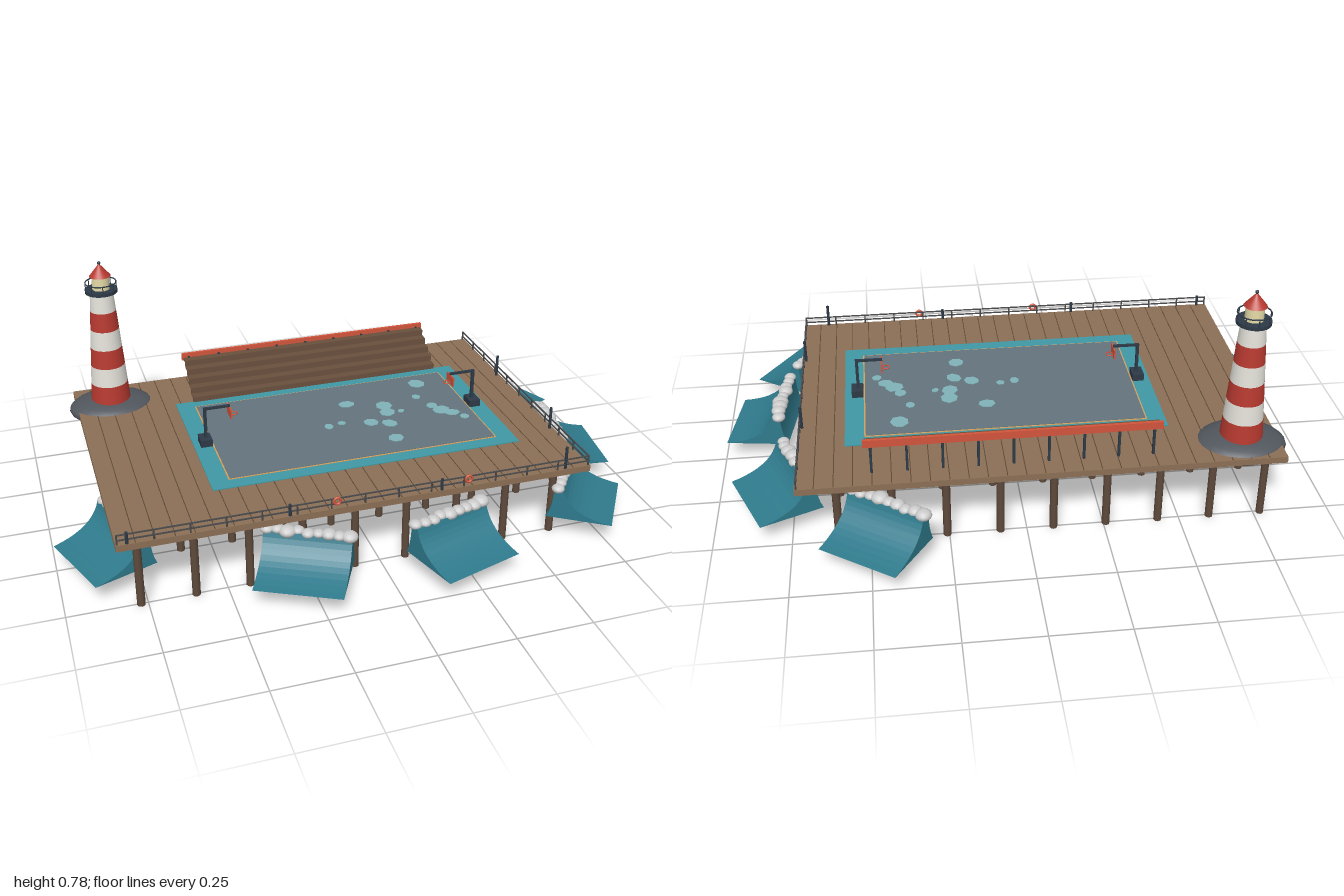
import * as THREE from 'three';

const mat = (color, extra = {}) => new THREE.MeshStandardMaterial({ color, ...extra });
const M = {
  deck: mat(0x8b6f55), seam: mat(0x5c4735), pile: mat(0x5f4a3c), bench: mat(0x6a503e),
  teal: mat(0x3f98a5), pool: mat(0x64747d), orange: mat(0xd0a060), ice: mat(0x7fb3b8),
  dark: mat(0x2d3a47), rail: mat(0x4a4a4c), red: mat(0xb83a30), coral: mat(0xd2553c),
  white: mat(0xe4e2da), cream: mat(0xe6dca8), rock: mat(0x51565d),
  wave: mat(0x2f7a8c, { side: THREE.DoubleSide }), foam: mat(0xf0f0f0),
};
const TOP = 0.235;

function add(parent, name, geo, material, x = 0, y = 0, z = 0) {
  const m = new THREE.Mesh(geo, material);
  m.name = name;
  m.position.set(x, y, z);
  parent.add(m);
  return m;
}
const box = (p, name, material, w, h, d, x, y, z) =>
  add(p, name, new THREE.BoxGeometry(w, h, d), material, x, y, z);
const cyl = (p, name, material, r0, r1, y0, y1, x, z, n = 24) =>
  add(p, name, new THREE.CylinderGeometry(r1, r0, y1 - y0, n), material, x, (y0 + y1) / 2, z);
function group(parent, name) {
  const g = new THREE.Group();
  g.name = name;
  parent.add(g);
  return g;
}
function seeded(s) {
  return () => (s = (s * 16807) % 2147483647) / 2147483647;
}

// Deck slab with plank seams, carried by a grid of piles
function buildDeck(root) {
  const g = group(root, 'deck');
  box(g, 'deckSlab', M.deck, 1.56, 0.022, 1.055, -0.055, TOP - 0.011, -0.007);
  for (let i = 1; i < 26; i++)
    box(g, 'plankSeam', M.seam, 0.003, 0.001, 1.05, -0.835 + i * 0.06, TOP, -0.007);
  for (let i = 0; i < 9; i++)
    for (let j = 0; j < 5; j++)
      cyl(g, 'pile', M.pile, 0.013, 0.013, 0, TOP - 0.02, -0.772 + i * 0.1715, -0.504 + j * 0.252, 8);
}

// Pool: teal surround, water, orange outline and ice patches
function buildPool(root) {
  const g = group(root, 'pool');
  box(g, 'poolSurround', M.teal, 1.065, 0.004, 0.62, 0.038, TOP + 0.001, -0.005);
  box(g, 'poolOutline', M.orange, 0.94, 0.005, 0.53, 0.037, TOP + 0.002, -0.007);
  box(g, 'poolSurface', M.pool, 0.93, 0.006, 0.52, 0.037, TOP + 0.003, -0.007);
  const patches = [[0.09, -0.12, 0.03], [0.215, -0.07, 0.032], [0.21, -0.02, 0.028], [0.26, -0.015, 0.014],
    [0.39, -0.2, 0.033], [0.35, -0.1, 0.016], [-0.02, 0.02, 0.02], [0.03, 0.01, 0.015], [0.13, 0.035, 0.025],
    [0.19, 0.06, 0.03], [0.175, 0.165, 0.028], [0.4, 0.02, 0.03], [0.43, 0.05, 0.028], [0.46, 0.09, 0.018],
    [0.38, -0.02, 0.02]];
  patches.forEach(([x, z, r], i) => {
    const p = add(g, 'icePatch', new THREE.CylinderGeometry(r, r, 0.002, 7), M.ice, x, TOP + 0.007, z);
    p.rotation.y = i * 1.3;
    p.scale.z = 0.8 + 0.15 * (i % 3);
  });
}

// Stepped benches with rear posts and a coral back rail
function buildBleachers(root) {
  const g = group(root, 'bleachers');
  const n = 5, cx = 0.037, w = 0.935;
  for (let i = 0; i < n; i++) {
    const y = TOP + 0.022 * (i + 1), z = -0.31 - 0.032 * i;
    box(g, 'benchTread', M.bench, w, 0.005, 0.032, cx, y - 0.0025, z - 0.016);
    box(g, 'benchRiser', M.bench, w, 0.022, 0.004, cx, y - 0.011, z - 0.002);
  }
  for (let i = 0; i < 9; i++)
    box(g, 'benchPost', M.dark, 0.008, 0.115, 0.008, -0.41 + i * 0.112, TOP + 0.057, -0.466);
  box(g, 'backRail', M.coral, w + 0.01, 0.026, 0.01, cx, 0.348, -0.472);
}

// Lighthouse: rock, six tapering bands, gallery, lamp room and roof
function buildLighthouse(root) {
  const g = group(root, 'lighthouse');
  g.position.set(-0.712, 0, -0.412);
  add(g, 'rock', new THREE.SphereGeometry(1, 24, 14), M.rock, 0, 0.22, 0).scale.set(0.15, 0.043, 0.122);
  const r = (t) => 0.07 - 0.03 * t;
  for (let i = 0; i < 6; i++)
    cyl(g, 'towerBand', i % 2 ? M.white : M.red, r(i / 6), r((i + 1) / 6),
      0.253 + i * 0.0688, 0.253 + (i + 1) * 0.0688, 0, 0);
  cyl(g, 'gallery', M.dark, 0.056, 0.056, 0.664, 0.676, 0, 0);
  const ring = add(g, 'galleryRail', new THREE.TorusGeometry(0.053, 0.0022, 6, 28), M.dark, 0, 0.7, 0);
  ring.rotation.x = Math.PI / 2;
  for (let i = 0; i < 8; i++) {
    const a = i * Math.PI / 4;
    cyl(g, 'galleryPost', M.dark, 0.0018, 0.0018, 0.674, 0.7, 0.053 * Math.cos(a), 0.053 * Math.sin(a), 5);
  }
  cyl(g, 'lampRoom', M.cream, 0.03, 0.03, 0.676, 0.726, 0, 0);
  cyl(g, 'roof', M.red, 0.037, 0.003, 0.723, 0.765, 0, 0);
  add(g, 'finial', new THREE.SphereGeometry(0.006, 10, 8), M.dark, 0, 0.77, 0);
}

// Goal stand: base, post, arm reaching over the pool, board and ring
function buildHoop(root, x, dir) {
  const g = group(root, 'hoopStand');
  g.position.set(x, TOP, 0);
  g.rotation.y = dir > 0 ? 0 : Math.PI;
  box(g, 'hoopBase', M.dark, 0.04, 0.028, 0.055, 0, 0.014, 0);
  box(g, 'hoopPost', M.dark, 0.01, 0.138, 0.01, 0.003, 0.069, 0);
  box(g, 'hoopArm', M.dark, 0.09, 0.008, 0.008, 0.045, 0.134, 0);
  box(g, 'hoopBoard', M.coral, 0.005, 0.034, 0.058, 0.088, 0.113, 0);
  const ring = add(g, 'hoopRing', new THREE.TorusGeometry(0.012, 0.002, 6, 16), M.coral, 0.102, 0.103, 0);
  ring.rotation.x = Math.PI / 2;
}

// Two-bar railing between two points on the deck
function buildRailing(root, x0, z0, x1, z1, count) {
  const g = group(root, 'railing');
  const dx = x1 - x0, dz = z1 - z0;
  for (const y of [0.25, 0.268])
    box(g, 'railBar', M.rail, Math.abs(dx) + 0.004, 0.004, Math.abs(dz) + 0.004, (x0 + x1) / 2, y, (z0 + z1) / 2);
  for (let i = 0; i <= count; i++)
    cyl(g, 'railPost', M.rail, 0.003, 0.003, TOP, 0.27, x0 + dx * i / count, z0 + dz * i / count, 6);
}

// Wave: concave ramp dropping outward (+z) with foam lumps on its crest
function buildWave(root, x, z, ox, oz, seed) {
  const g = group(root, 'wave');
  g.position.set(x, 0, z);
  g.rotation.y = Math.atan2(ox, oz);
  const w = 0.28, rnd = seeded(seed * 7919 + 13);
  const s = new THREE.Shape();
  s.moveTo(0, 0.07);
  s.quadraticCurveTo(-0.14, 0.085, -0.165, 0.175);
  s.lineTo(-0.195, 0.175);
  s.quadraticCurveTo(-0.195, 0.11, -0.215, 0.07);
  s.closePath();
  const geo = new THREE.ExtrudeGeometry(s, { depth: w, bevelEnabled: false, curveSegments: 10 });
  geo.translate(0, 0, -w / 2);
  geo.rotateY(-Math.PI / 2);
  add(g, 'waveBody', geo, M.wave);
  for (let i = 0; i < 9; i++) {
    const k = 0.8 + 0.4 * rnd();
    const f = add(g, 'foam', new THREE.SphereGeometry(1, 12, 8), M.foam,
      -0.13 + i * 0.0325, 0.174 + 0.006 * rnd(), -0.182 + 0.014 * (rnd() - 0.5));
    f.scale.set(0.024 * k, 0.016 * k, 0.024 * k);
  }
}

export function createModel() {
  const root = new THREE.Group();
  root.name = 'pierPool';
  buildDeck(root);
  buildPool(root);
  buildBleachers(root);
  buildLighthouse(root);
  buildHoop(root, -0.453, 1);
  buildHoop(root, 0.527, -1);
  buildRailing(root, -0.83, 0.515, 0.718, 0.515, 14);
  buildRailing(root, 0.718, 0.515, 0.718, -0.53, 10);
  // Taller lamp posts along the railings
  for (const [x, z] of [[-0.8, 0.515], [-0.3, 0.515], [0.2, 0.515], [0.635, 0.515], [0.712, 0.25], [0.712, -0.19]])
    cyl(root, 'lampPost', M.dark, 0.005, 0.005, TOP, x > 0.5 ? 0.315 : 0.275, x, z, 8);
  for (const x of [-0.15, 0.29])
    add(root, 'lifebuoy', new THREE.TorusGeometry(0.011, 0.004, 8, 18), M.coral, x, 0.262, 0.52);
  // Waves around the deck: outer edge midpoint and outward direction
  [[0.545, -0.7, 0.57, -0.82], [0.9, -0.365, 0.92, -0.39], [0.97, 0.135, 0.99, 0.146], [0.83, 0.53, 0.83, 0.56],
    [0.26, 0.74, 0.294, 0.956], [-0.33, 0.695, -0.454, 0.891], [-0.95, 0.345, -0.94, 0.35]]
    .forEach((p, i) => buildWave(root, ...p, i + 1));
  return root;
}
